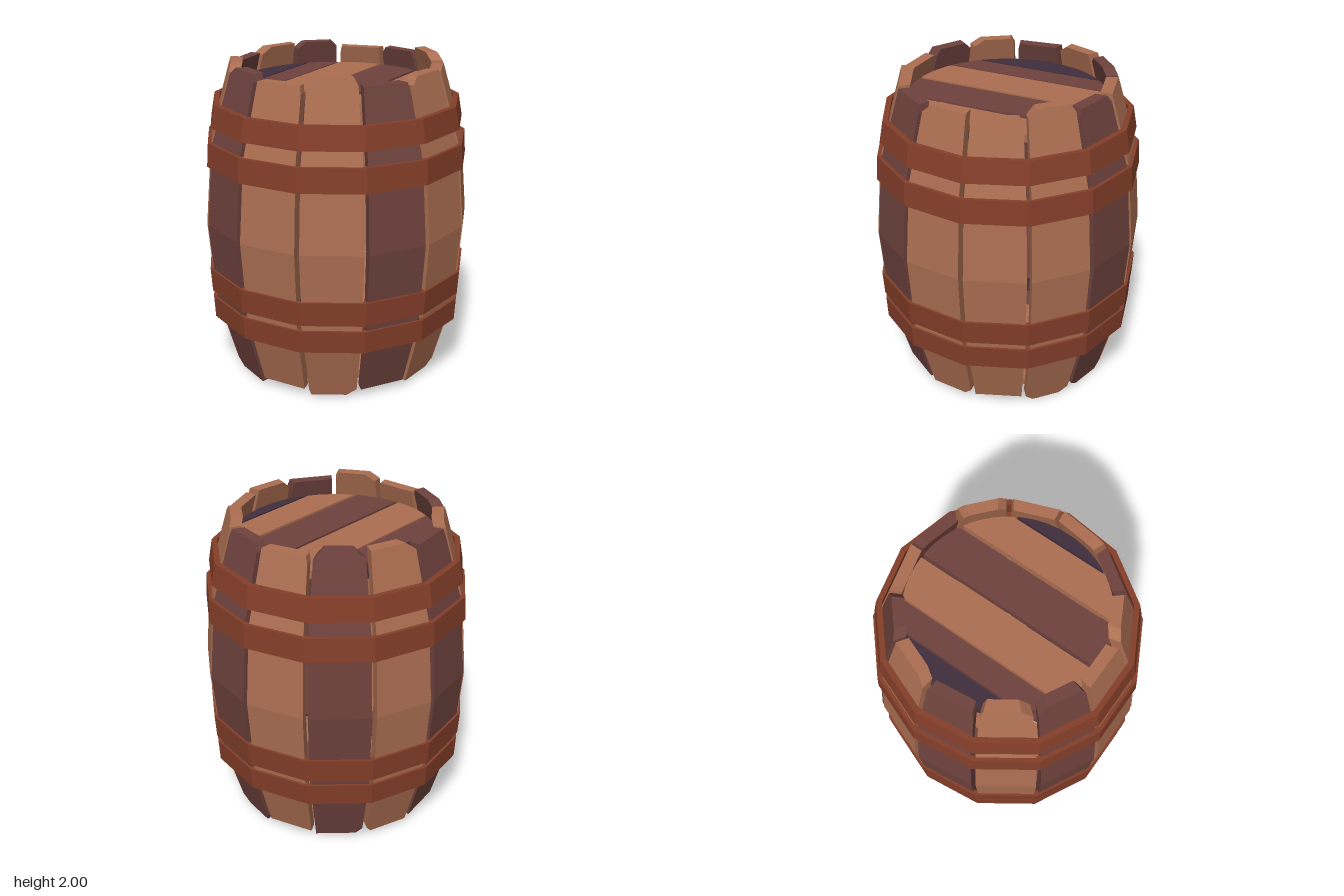
import * as THREE from 'three';

const SIDES = 13;
const STEP = (Math.PI * 2) / SIDES;
const TAN = Math.tan(STEP / 2);

const mat = (name, color) => {
  const m = new THREE.MeshStandardMaterial({ color, flatShading: true });
  m.name = name;
  return m;
};

// Distance from the axis to the outer face of a stave at height y
const BULGE = [[0, 0.64], [0.5, 0.78], [1, 0.82], [1.5, 0.78], [2, 0.64]];
function bulge(y) {
  const k = Math.min(3, Math.floor(y / 0.5));
  const [y0, r0] = BULGE[k], [y1, r1] = BULGE[k + 1];
  return r0 + ((r1 - r0) * (y - y0)) / (y1 - y0);
}

// One curved board; chips = [top left, top right, bottom left, bottom right] corner cuts
function staveGeometry(bottom, top, chips) {
  const [tl, tr, bl, br] = chips;
  const levels = [
    [bottom, bl, br], [bottom + 0.045, 0, 0], [0.5, 0, 0], [1, 0, 0],
    [1.5, 0, 0], [top - 0.045, 0, 0], [top, tl, tr],
  ];
  const pos = [], index = [];
  for (const [y, cutL, cutR] of levels) {
    const ro = bulge(y), ri = ro - 0.072;
    const wo = ro * TAN - 0.015, wi = ri * TAN - 0.015;
    pos.push(-wo + cutL, y, ro, wo - cutR, y, ro, wi - cutR, y, ri, -wi + cutL, y, ri);
  }
  for (let l = 0; l < levels.length - 1; l++) {
    for (let k = 0; k < 4; k++) {
      const a = l * 4 + k, b = l * 4 + ((k + 1) % 4);
      index.push(a, b, b + 4, a, b + 4, a + 4);
    }
  }
  const t = (levels.length - 1) * 4;
  index.push(t, t + 1, t + 2, t, t + 2, t + 3, 0, 2, 1, 0, 3, 2);
  const g = new THREE.BufferGeometry();
  g.setAttribute('position', new THREE.Float32BufferAttribute(pos, 3));
  g.setIndex(index);
  g.computeVertexNormals();
  return g;
}

// Band with a rectangular section, one flat per stave
function hoopGeometry(y0, r0, y1, r1) {
  const t = 0.035;
  const profile = [[r0, y0], [r1, y1], [r1 - t, y1], [r0 - t, y0], [r0, y0]]
    .map(([r, y]) => new THREE.Vector2(r, y));
  return new THREE.LatheGeometry(profile, SIDES, STEP / 2);
}

// Lid board between x0 and x1, trimmed to a circle
function plankGeometry(x0, x1) {
  const R = 0.61, n = 6, front = [], back = [];
  for (let k = 0; k <= n; k++) {
    const x = x0 + ((x1 - x0) * k) / n;
    const z = Math.sqrt(Math.max(0.0004, R * R - x * x));
    front.push(new THREE.Vector2(x, -z));
    back.unshift(new THREE.Vector2(x, z));
  }
  const g = new THREE.ExtrudeGeometry(new THREE.Shape([...front, ...back]),
    { depth: 0.05, bevelEnabled: false });
  return g.rotateX(-Math.PI / 2);
}

export function createModel() {
  const model = new THREE.Group();
  model.name = 'barrel';
  const light = mat('light wood', 0xab6e51);
  const dark = mat('dark wood', 0x6e423d);
  const shadowWood = mat('purple wood', 0x402d3b);
  const rust = mat('rusty hoop', 0x843e29);

  const add = (name, geometry, material, parent = model) => {
    const mesh = new THREE.Mesh(geometry, material);
    mesh.name = name;
    parent.add(mesh);
    return mesh;
  };

  // Staves, counted from the front (0) towards +x
  const staves = new THREE.Group();
  staves.name = 'staves';
  model.add(staves);
  const darkOnes = [2, 6, -1, -3, -5];
  const uneven = {
    1: [0.01, 2, [0.06, 0.02, 0.01, 0.06]],
    '-1': [0.01, 1.98, [0.05, 0.02, 0.04, 0]],
    '-2': [0.01, 1.985, [0.02, 0.06, 0.05, 0.04]],
    3: [0.03, 1.97, [0.05, 0, 0, 0.05]],
    '-4': [0.03, 1.98, [0, 0.06, 0.03, 0]],
    5: [0, 2, [0.05, 0.03, 0.05, 0.05]],
    '-5': [0.03, 1.985, [0.04, 0.05, 0, 0.04]],
    6: [0.01, 1.96, [0.01, 0.03, 0.06, 0.02]],
  };
  for (let i = -6; i <= 6; i++) {
    const [bottom, top, chips] = uneven[i] || [0.05, 1.95, [0, 0.01, 0, 0]];
    const stave = add('stave', staveGeometry(bottom, top, chips),
      darkOnes.includes(i) ? dark : light, staves);
    stave.rotation.y = i * STEP;
  }

  // Hoops: bottom height and radius, top height and radius
  const hoops = [
    [0.37, 0.812, 0.51, 0.82], [0.55, 0.825, 0.7, 0.835],
    [1.37, 0.83, 1.52, 0.82], [1.61, 0.8, 1.75, 0.775],
  ];
  hoops.forEach((h) => add('hoop', hoopGeometry(...h), rust));

  // Top and bottom lids made of boards
  const planks = [
    [-0.608, -0.45, shadowWood], [-0.44, -0.285, dark], [-0.275, -0.01, light],
    [0.01, 0.275, dark], [0.297, 0.515, light], [0.528, 0.608, shadowWood],
  ];
  for (const [name, y] of [['bottomLid', 0.1], ['topLid', 1.79]]) {
    const lid = new THREE.Group();
    lid.name = name;
    lid.position.y = y;
    planks.forEach(([x0, x1, m]) => add('lidPlank', plankGeometry(x0, x1), m, lid));
    model.add(lid);
  }
  return model;
}
